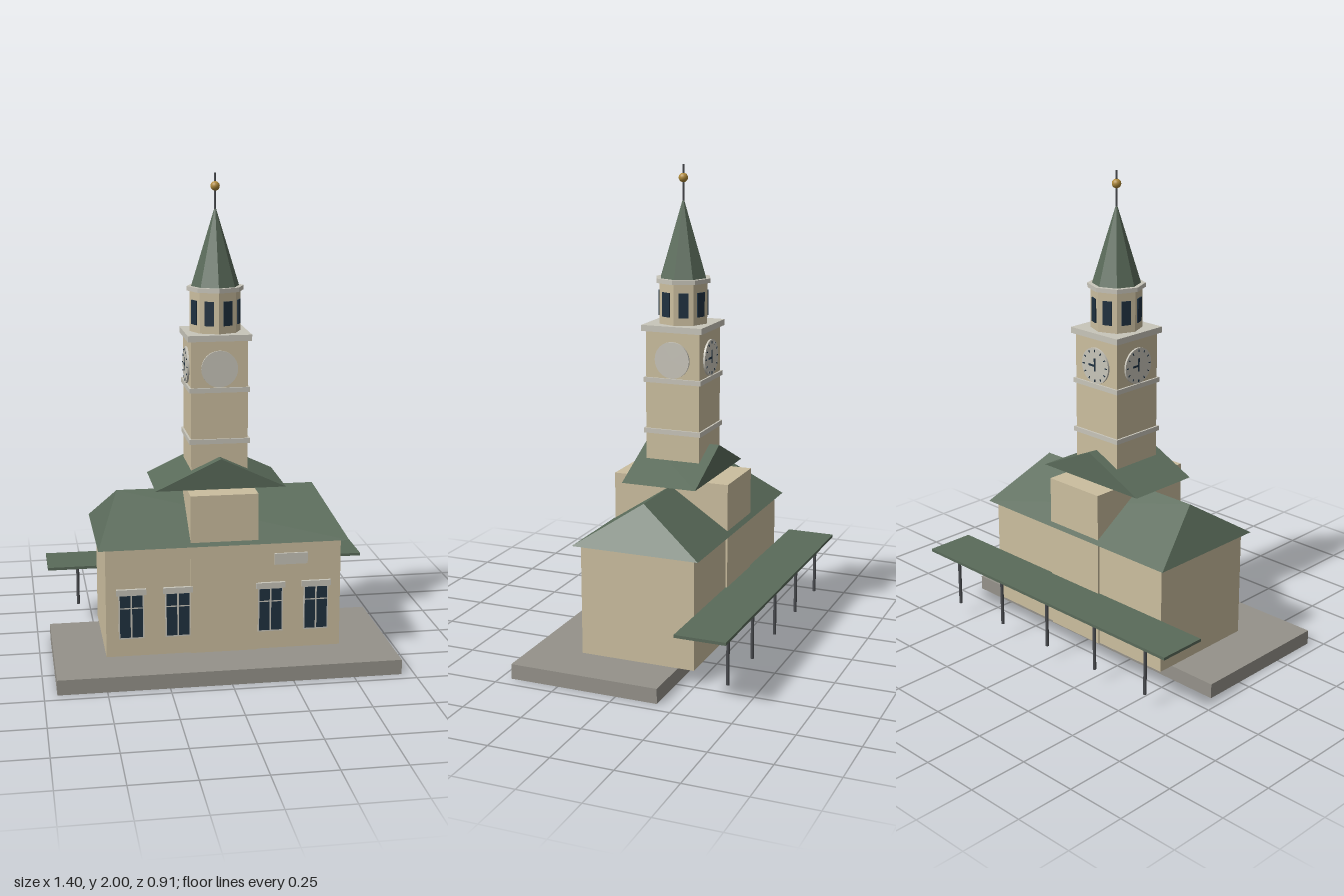
import * as THREE from 'three';
import { ConvexGeometry } from 'three/addons/geometries/ConvexGeometry.js';

const paint = (name, color) => {
  const m = new THREE.MeshStandardMaterial({ color });
  m.name = name;
  return m;
};

export function createModel() {
  const wall = paint('sandWall', 0xcbbe9f);
  const roof = paint('greenRoof', 0x5a6b5a);
  const stone = paint('greyStone', 0x95928a);
  const trim = paint('paleTrim', 0xc8c5ba);
  const glass = paint('darkGlass', 0x1f3140);
  const iron = paint('darkIron', 0x4a4c50);
  const gold = paint('gold', 0xb08a3a);

  const model = new THREE.Group();
  model.name = 'clockTowerStation';

  const add = (parent, name, geometry, material, x = 0, y = 0, z = 0) => {
    const mesh = new THREE.Mesh(geometry, material);
    mesh.name = name;
    mesh.position.set(x, y, z);
    parent.add(mesh);
    return mesh;
  };
  // Box given by centre x/z and bottom/top heights
  const box = (parent, name, material, w, d, y0, y1, x = 0, z = 0) =>
    add(parent, name, new THREE.BoxGeometry(w, y1 - y0, d), material, x, (y0 + y1) / 2, z);
  // Faceted eight-sided drum or cone
  const octagon = (parent, name, material, r0, r1, y0, y1) => {
    const g = new THREE.CylinderGeometry(r1, r0, y1 - y0, 8).toNonIndexed();
    g.computeVertexNormals();
    return add(parent, name, g, material, 0, (y0 + y1) / 2, 0);
  };
  const group = (parent, name) => {
    const g = new THREE.Group();
    g.name = name;
    parent.add(g);
    return g;
  };
  const v = (x, y, z) => new THREE.Vector3(x, y, z);

  // Platform and main walls
  box(model, 'platform', stone, 1.396, 0.63, 0, 0.062, 0, 0.14);
  box(model, 'mainHall', wall, 0.972, 0.486, 0.062, 0.525);
  box(model, 'centralBlock', wall, 0.278, 0.502, 0.062, 0.73);

  // Hipped main roof
  const hip = [v(-0.415, 0.7, 0), v(0.415, 0.7, 0)];
  for (const x of [-0.515, 0.515]) for (const z of [-0.27, 0.27]) hip.push(v(x, 0.522, z));
  add(model, 'hippedRoof', new ConvexGeometry(hip), roof);

  // Gabled roof at the foot of the tower, ridge running front to back
  const gable = [];
  for (const z of [-0.16, 0.16]) gable.push(v(-0.27, 0.73, z), v(0.27, 0.73, z), v(0, 0.856, z));
  add(model, 'gabledRoof', new ConvexGeometry(gable), roof);

  // Front windows with frames, mullion, transom and lintel
  for (const x of [-0.383, -0.192, 0.192, 0.383]) {
    const win = group(model, 'frontWindow');
    win.position.set(x, 0, 0.243);
    box(win, 'windowFrame', trim, 0.104, 0.006, 0.138, 0.326, 0, 0.003);
    for (const s of [-1, 1]) {
      box(win, 'lowerPane', glass, 0.043, 0.004, 0.144, 0.266, s * 0.025, 0.006);
      box(win, 'upperPane', glass, 0.043, 0.004, 0.272, 0.322, s * 0.025, 0.006);
    }
    box(win, 'lintel', trim, 0.122, 0.014, 0.326, 0.35, 0, 0.006);
  }
  box(model, 'wallPlaque', trim, 0.138, 0.009, 0.425, 0.472, 0.277, 0.247);

  // Rear canopy on posts
  box(model, 'canopyRoof', roof, 1.396, 0.21, 0.281, 0.293, 0, -0.35);
  for (let i = -2; i <= 2; i++) {
    add(model, 'canopyPost', new THREE.CylinderGeometry(0.007, 0.007, 0.22, 10), iron, i * 0.28, 0.172, -0.413);
  }

  // Square tower with string courses and cornice
  const tower = group(model, 'tower');
  box(tower, 'towerShaft', wall, 0.234, 0.234, 0.73, 1.336);
  box(tower, 'lowerBand', trim, 0.25, 0.25, 0.912, 0.932);
  box(tower, 'upperBand', trim, 0.25, 0.25, 1.125, 1.145);
  box(tower, 'cornice', trim, 0.262, 0.262, 1.336, 1.361);

  // Clock faces on all sides; hands and marks on the back and right
  for (let side = 0; side < 4; side++) {
    const clock = group(tower, 'clock');
    clock.rotation.y = side * Math.PI / 2;
    const dial = group(clock, 'dialGroup');
    dial.position.set(0, 1.222, 0.117);
    const disc = add(dial, 'dial', new THREE.CylinderGeometry(0.075, 0.075, 0.009, 32), trim, 0, 0, 0.0035);
    disc.rotation.x = Math.PI / 2;
    if (side < 2) continue;
    for (let i = 0; i < 12; i++) {
      const a = i * Math.PI / 6;
      const mark = add(dial, 'hourMark', new THREE.BoxGeometry(0.004, 0.01, 0.003), glass,
        Math.sin(a) * 0.063, Math.cos(a) * 0.063, 0.009);
      mark.rotation.z = -a;
    }
    add(dial, 'minuteHand', new THREE.BoxGeometry(0.008, 0.055, 0.003), glass, 0, 0.004, 0.009);
    add(dial, 'hourHand', new THREE.BoxGeometry(0.034, 0.008, 0.003), glass, -0.017, 0, 0.0092);
  }

  // Octagonal lantern with a window in each face
  const lantern = group(model, 'lantern');
  octagon(lantern, 'lanternWall', wall, 0.105, 0.105, 1.361, 1.53);
  for (let i = 0; i < 8; i++) {
    const a = (i + 0.5) * Math.PI / 4;
    const pane = box(lantern, 'lanternWindow', glass, 0.04, 0.008, 1.393, 1.492,
      Math.sin(a) * 0.098, Math.cos(a) * 0.098);
    pane.rotation.y = a;
  }
  octagon(lantern, 'lanternCornice', trim, 0.118, 0.118, 1.528, 1.546);

  // Spire and finial
  octagon(model, 'spire', roof, 0.099, 0.001, 1.546, 1.866);
  add(model, 'finialRod', new THREE.CylinderGeometry(0.004, 0.004, 0.16, 10), iron, 0, 1.92, 0);
  add(model, 'finialBall', new THREE.SphereGeometry(0.019, 20, 14), gold, 0, 1.947, 0);

  return model;
}
